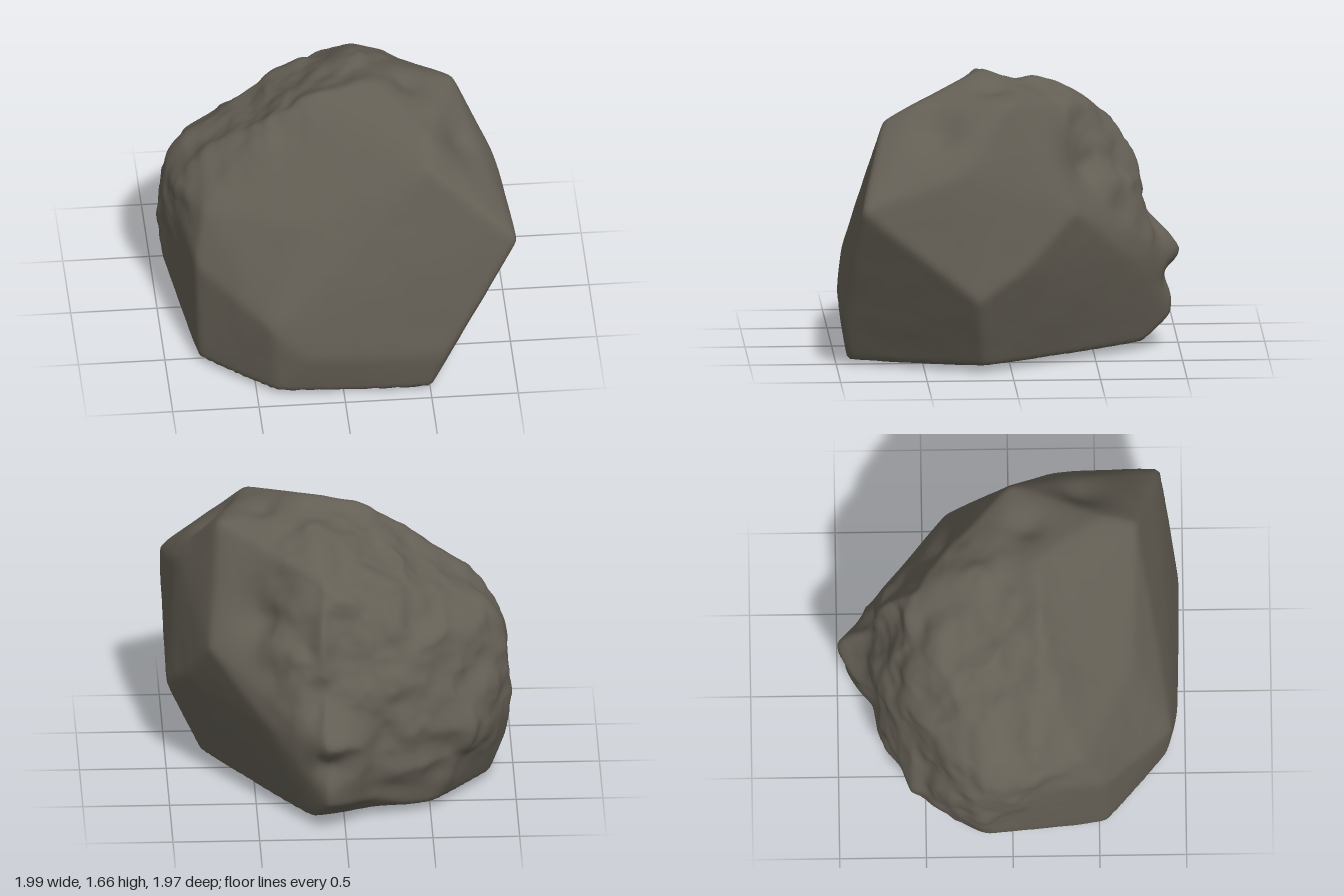
import * as THREE from 'three';
import { mergeVertices } from 'three/addons/utils/BufferGeometryUtils.js';
import { ConvexGeometry } from 'three/addons/geometries/ConvexGeometry.js';

const V = (x, y, z) => new THREE.Vector3(x, y, z);

// Corners of the boulder's main facets
const corners = [
  // underside
  V(0.5, 0.03, 0.94), V(-0.38, 0.03, 0.9), V(-0.81, 0.04, 0.54), V(-0.86, 0.05, -0.2), V(-0.5, 0.05, -0.62),
  V(0.2, 0.05, -0.78), V(0.8, 0.05, 0.15), V(0, 0, 0.2), V(-0.3, 0, 0), V(0.4, 0.01, 0.3),
  // front
  V(0.59, 0.3, 0.98), V(-0.2, 0.3, 0.97), V(-0.42, 0.5, 0.93), V(-0.83, 0.7, 0.52), V(-0.2, 1.08, 0.7),
  V(-0.77, 1.0, 0.42), V(0.5, 1.45, 0.73), V(0.53, 1.54, 0.56),
  // smooth right side
  V(1.01, 1.02, 0.88), V(1, 0.46, 0.2), V(0.91, 0.62, -0.06), V(0.77, 0.95, -0.37), V(0.45, 0.6, -0.7),
  V(0.7, 1.32, -0.2), V(0.93, 1.2, 0.28), V(0.71, 1.58, 0),
  // crown
  V(0.22, 1.68, 0.17), V(-0.1, 1.6, 0.16), V(0.2, 1.63, -0.13), V(0.12, 1.43, -0.58),
  V(-0.35, 1.47, 0.18), V(-0.3, 1.4, -0.3), V(-0.72, 1.25, 0.08),
  // back and left
  V(0.11, 0.58, -1), V(0.1, 0.2, -0.96), V(0.1, 1.05, -0.75), V(-0.45, 1.1, -0.57), V(-0.48, 0.55, -0.75),
  V(-0.82, 0.5, -0.53), V(-1, 0.7, -0.22), V(-0.97, 0.3, -0.15), V(-0.94, 0.97, 0), V(-0.85, 1.05, -0.3),
];

// Hollows: centre, radius, depth
const dents = [
  [V(0.08, 0.84, -0.87), 0.15, 0.07], [V(0.1, 0.42, -0.98), 0.09, 0.06], [V(0.5, 1.2, -0.45), 0.16, 0.07],
  [V(-0.2, 0.55, -0.87), 0.17, 0.07], [V(-0.2, 0.2, -0.8), 0.17, 0.05], [V(0.74, 1.42, 0.42), 0.14, 0.05],
  [V(0.45, 1.62, 0.1), 0.1, 0.05], [V(-0.75, 0.8, -0.52), 0.15, 0.04],
];

// Smooth value noise in the range -1 to 1
function hash(x, y, z) {
  let h = Math.imul(x, 374761393) ^ Math.imul(y, 668265263) ^ Math.imul(z, 873357469);
  h = Math.imul(h ^ (h >>> 13), 1274126177);
  return ((h ^ (h >>> 16)) >>> 0) / 2147483648 - 1;
}
function noise(p, f) {
  const q = [p.x * f + 50, p.y * f + 50, p.z * f + 50];
  const i = q.map(Math.floor);
  const [u, v, w] = q.map((a, k) => THREE.MathUtils.smootherstep(a - i[k], 0, 1));
  const L = THREE.MathUtils.lerp;
  const row = (y, z) => L(hash(i[0], i[1] + y, i[2] + z), hash(i[0] + 1, i[1] + y, i[2] + z), u);
  return L(L(row(0, 0), row(1, 0), v), L(row(0, 1), row(1, 1), v), w);
}

function boulderGeometry() {
  const centre = V(0, 0.75, 0);

  // Facet planes of the hull around the corners
  const hull = new ConvexGeometry(corners.map((c) => c.clone().sub(centre))).attributes.position;
  const planes = [];
  for (let i = 0; i < hull.count; i += 3) {
    const [a, b, c] = [0, 1, 2].map((k) => V().fromBufferAttribute(hull, i + k));
    planes.push(new THREE.Plane().setFromCoplanarPoints(a, b, c));
  }

  const ball = new THREE.IcosahedronGeometry(1, 48);
  ball.deleteAttribute('normal');
  ball.deleteAttribute('uv');
  const geo = mergeVertices(ball);
  const pos = geo.attributes.position;
  const roughSide = V(-0.5, 0.55, -0.67).normalize();
  const d = V();
  const p = V();

  for (let i = 0; i < pos.count; i++) {
    d.fromBufferAttribute(pos, i).normalize();
    // Soft minimum over the planes gives lightly worn edges
    let sum = 0;
    for (const pl of planes) {
      const t = pl.normal.dot(d) / -pl.constant;
      if (t > 0) sum += t ** 130;
    }
    p.copy(d).multiplyScalar(sum ** (-1 / 130)).add(centre);

    // Broken rock on the top, back and left; faint waves elsewhere
    const rough = 0.06 + 0.94 * THREE.MathUtils.smoothstep(d.dot(roughSide), 0.2, 0.62);
    const ledge = 0.4 - Math.abs(noise(p, 4.3));
    let push = rough * (0.02 * noise(p, 3.1) + 0.035 * ledge + 0.022 * noise(p, 7) + 0.006 * noise(p, 15));
    for (const [c, size, depth] of dents) push -= depth * Math.exp(-p.distanceToSquared(c) / (size * size));
    p.addScaledVector(d, push);
    pos.setXYZ(i, p.x, p.y, p.z);
  }

  // Rest on the ground
  geo.computeBoundingBox();
  geo.translate(0, -geo.boundingBox.min.y, 0);
  geo.computeVertexNormals();
  return geo;
}

export function createModel() {
  const stone = new THREE.MeshStandardMaterial({ color: 0x645f55 });
  stone.name = 'stone';
  const boulder = new THREE.Mesh(boulderGeometry(), stone);
  boulder.name = 'boulder';
  const group = new THREE.Group();
  group.name = 'rock';
  group.add(boulder);
  return group;
}
